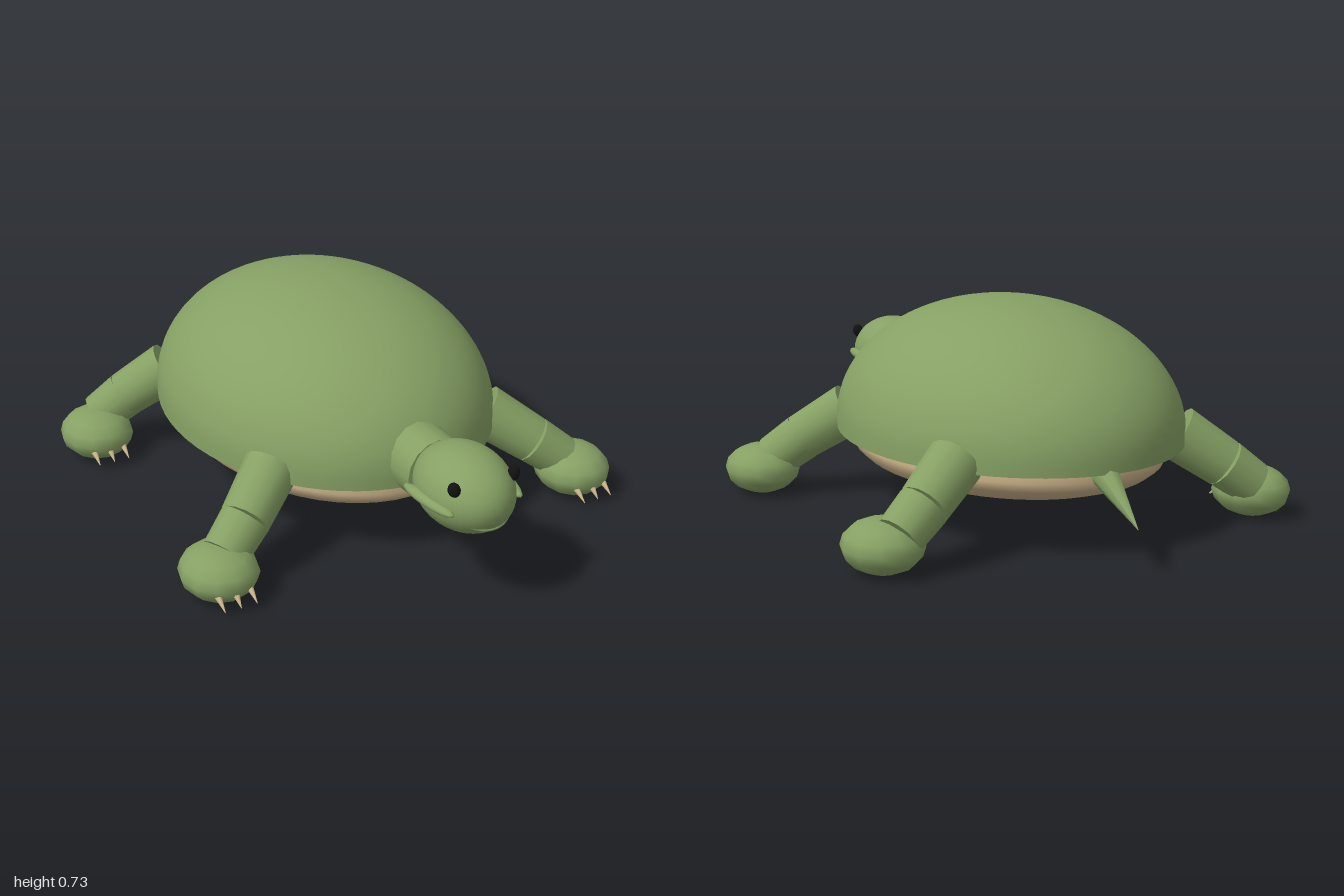
import * as THREE from 'three';

const mat = (name, color, side = THREE.FrontSide) => {
  const m = new THREE.MeshStandardMaterial({ color, side });
  m.name = name;
  return m;
};

export function createModel() {
  const model = new THREE.Group();
  model.name = 'turtle';
  const green = mat('skin green', 0x86a064, THREE.DoubleSide);
  const tan = mat('belly tan', 0xc9b088);
  const claw = mat('claw cream', 0xcdb68c);
  const black = mat('eye black', 0x121212);
  const V = (x, y, z) => new THREE.Vector3(x, y, z);

  const add = (name, geometry, material, parent = model) => {
    const mesh = new THREE.Mesh(geometry, material);
    mesh.name = name;
    parent.add(mesh);
    return mesh;
  };
  const ellipsoid = (name, pos, radii, material, parent, w = 32, h = 20) => {
    const mesh = add(name, new THREE.SphereGeometry(1, w, h), material, parent);
    mesh.position.copy(pos);
    mesh.scale.copy(radii);
    return mesh;
  };
  // Tapered cylinder from a to b
  const limb = (name, a, b, ra, rb, material, parent, sides = 14) => {
    const dir = b.clone().sub(a);
    const mesh = add(name, new THREE.CylinderGeometry(rb, ra, dir.length(), sides), material, parent);
    mesh.position.copy(a).add(b).multiplyScalar(0.5);
    mesh.quaternion.setFromUnitVectors(V(0, 1, 0), dir.normalize());
    return mesh;
  };

  // Domed shell with a short upright rim
  const dome = [new THREE.Vector2(1, 0.285)];
  for (let i = 0; i <= 24; i++) {
    const t = (i / 24) * Math.PI / 2;
    dome.push(new THREE.Vector2(Math.cos(t), 0.315 + 0.425 * Math.sin(t)));
  }
  const shell = add('shell', new THREE.LatheGeometry(dome, 64), green);
  shell.scale.set(0.56, 1, 0.695);
  shell.position.z = -0.12;
  const under = add('shellUnderside', new THREE.CircleGeometry(1, 64).rotateX(Math.PI / 2), green);
  under.scale.set(0.56, 1, 0.695);
  under.position.set(0, 0.286, -0.12);

  // Flattened belly plate
  const bellyProfile = [[0, 0.13], [0.3, 0.133], [0.6, 0.146], [0.8, 0.166], [0.92, 0.192],
    [0.98, 0.22], [1, 0.25], [0.98, 0.286]].map(p => new THREE.Vector2(...p));
  const belly = add('belly', new THREE.LatheGeometry(bellyProfile, 48), tan);
  belly.scale.set(0.5, 1, 0.655);
  belly.position.z = -0.105;

  // Neck and head
  limb('neck', V(0, 0.36, 0.42), V(0, 0.368, 0.66), 0.12, 0.113, green, model, 16);
  const head = new THREE.Group();
  head.name = 'head';
  model.add(head);
  ellipsoid('skull', V(0, 0.394, 0.807), V(0.147, 0.134, 0.193), green, head);
  for (const s of [1, -1]) {
    const lip = ellipsoid('lip', V(s * 0.137, 0.387, 0.82), V(0.026, 0.019, 0.122), green, head, 16, 12);
    lip.rotation.y = -s * 0.12;
    const eye = ellipsoid('eye', V(s * 0.107, 0.464, 0.915), V(0.02, 0.025, 0.02), black, head, 14, 10);
    eye.rotation.z = -s * 0.3;
  }
  const smile = new THREE.CatmullRomCurve3([V(-0.075, 0.345, 0.948), V(-0.04, 0.332, 0.967),
    V(0, 0.328, 0.974), V(0.04, 0.332, 0.967), V(0.075, 0.345, 0.948)]);
  add('mouth', new THREE.TubeGeometry(smile, 16, 0.006, 6), green, head);

  // Legs, feet and claws, mirrored left and right
  const legs = [
    { name: 'frontLeg', hip: [0.41, 0.313, 0.29], knee: [0.555, 0.205, 0.385], ankle: [0.65, 0.13, 0.43], footZ: 0.452 },
    { name: 'backLeg', hip: [0.41, 0.313, -0.54], knee: [0.555, 0.205, -0.61], ankle: [0.65, 0.13, -0.64], footZ: -0.59 },
  ];
  for (const { name, hip, knee, ankle, footZ } of legs) {
    for (const s of [1, -1]) {
      const leg = new THREE.Group();
      leg.name = name;
      model.add(leg);
      const side = ([x, y, z]) => V(s * x, y, z);
      limb('upperLeg', side(hip), side(knee), 0.093, 0.084, green, leg);
      limb('lowerLeg', side(knee), side(ankle), 0.084, 0.078, green, leg);
      ellipsoid('foot', V(s * 0.682, 0.095, footZ), V(0.13, 0.087, 0.142), green, leg, 12, 8);
      for (const dx of [-0.055, 0, 0.055]) {
        const z = footZ + (dx ? 0.11 : 0.125);
        limb('claw', V(s * 0.682 + dx, 0.075, z), V(s * 0.682 + dx, 0.045, footZ + 0.163),
          0.012, 0.001, claw, leg, 8);
      }
    }
  }

  // Pointed tail
  limb('tail', V(0.008, 0.275, -0.77), V(0.03, 0.16, -1), 0.046, 0.001, green, model, 8);

  return model;
}
